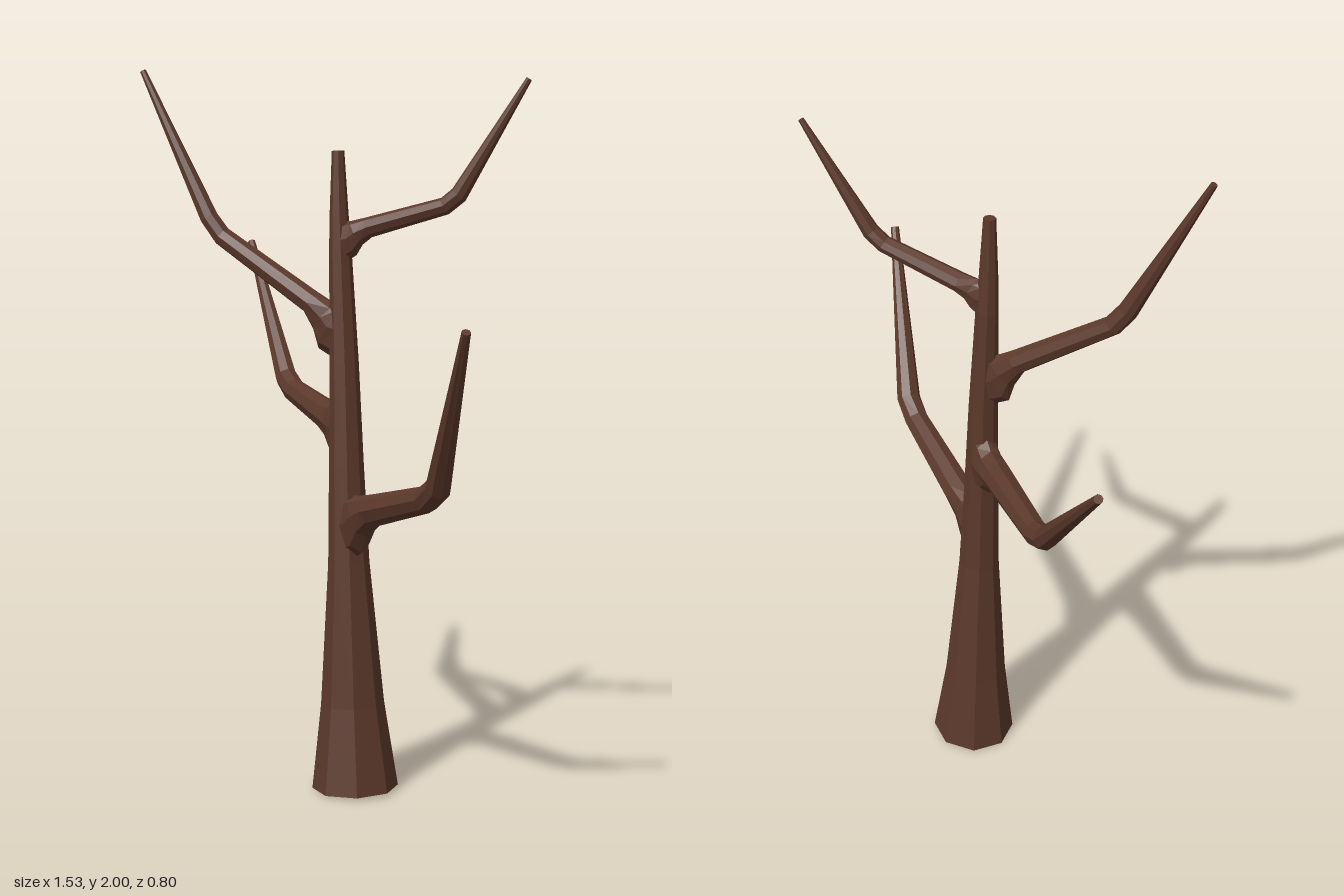
import * as THREE from 'three';

const SIDES = 8;

// Tapered faceted limb. Each point is [x, y, z, radius, lateralRadius = radius].
function limbGeometry(points, ref) {
  const centres = points.map(([x, y, z]) => new THREE.Vector3(x, y, z));
  const last = points.length - 1;
  const positions = [];
  const index = [];

  points.forEach(([, , , r, lateral = r], i) => {
    // Ring plane bisects the neighbouring segments
    const t = new THREE.Vector3();
    if (i > 0) t.add(centres[i].clone().sub(centres[i - 1]).normalize());
    if (i < last) t.add(centres[i + 1].clone().sub(centres[i]).normalize());
    t.normalize();
    const u = ref.clone().cross(t).normalize();
    const v = t.clone().cross(u);
    for (let j = 0; j < SIDES; j++) {
      const a = (j / SIDES) * Math.PI * 2;
      const p = centres[i].clone()
        .addScaledVector(u, Math.cos(a) * lateral)
        .addScaledVector(v, Math.sin(a) * r);
      positions.push(p.x, p.y, p.z);
    }
  });

  // Side walls
  for (let i = 0; i < last; i++) {
    for (let j = 0; j < SIDES; j++) {
      const k = (j + 1) % SIDES;
      const a = i * SIDES + j, b = i * SIDES + k;
      index.push(a, b, a + SIDES, b, b + SIDES, a + SIDES);
    }
  }

  // End caps
  for (let j = 1; j < SIDES - 1; j++) {
    const e = last * SIDES;
    index.push(0, j + 1, j, e, e + j, e + j + 1);
  }

  const geometry = new THREE.BufferGeometry();
  geometry.setAttribute('position', new THREE.Float32BufferAttribute(positions, 3));
  geometry.setIndex(index);
  const flat = geometry.toNonIndexed();
  flat.computeVertexNormals();
  return flat;
}

export function createModel() {
  const tree = new THREE.Group();
  tree.name = 'bareTree';
  const bark = new THREE.MeshStandardMaterial({ color: 0x5c392b });
  bark.name = 'bark';
  bark.flatShading = true;

  const addLimb = (name, points, ref) => {
    const mesh = new THREE.Mesh(limbGeometry(points, ref), bark);
    mesh.name = name;
    tree.add(mesh);
  };

  // Trunk, flared at the foot and leaning slightly
  addLimb('trunk', [
    [0.08, 0.01, 0.04, 0.12],
    [0.07, 0.25, 0.04, 0.088],
    [0.06, 0.65, 0.045, 0.057],
    [0.049, 0.92, 0.043, 0.048],
    [0.038, 1.2, 0.04, 0.04],
    [0.024, 1.5, 0.04, 0.031],
    [0.021, 1.6, 0.042, 0.026],
    [0.018, 1.775, 0.043, 0.017],
  ], new THREE.Vector3(0, 0, 1));

  // Branches: a tall collar at the trunk, a shallow run, then an elbow up to a thin tip
  const branches = {
    lowerLeftBranch: [
      [0.055, 0.755, 0.045, 0.1, 0.04], [0.1, 0.765, 0.06, 0.085, 0.042],
      [0.135, 0.79, 0.075, 0.06, 0.043], [0.19, 0.815, 0.09, 0.044],
      [0.46, 0.89, 0.185, 0.036], [0.52, 0.93, 0.21, 0.035], [0.755, 1.352, 0.39, 0.012],
    ],
    lowerRightBranch: [
      [0.04, 1.02, 0.035, 0.1, 0.038], [0, 1.022, 0.02, 0.085, 0.04],
      [-0.03, 1.03, 0.005, 0.055, 0.041], [-0.08, 1.04, -0.02, 0.042],
      [-0.36, 1.075, -0.17, 0.034], [-0.42, 1.105, -0.2, 0.033], [-0.757, 1.49, -0.39, 0.012],
    ],
    upperRightBranch: [
      [0.035, 1.29, 0.04, 0.085, 0.03], [0, 1.3, 0.05, 0.075, 0.032],
      [-0.02, 1.325, 0.055, 0.05, 0.033], [-0.06, 1.365, 0.07, 0.034],
      [-0.31, 1.54, 0.165, 0.028], [-0.345, 1.59, 0.18, 0.027], [-0.546, 1.996, 0.24, 0.009],
    ],
    upperLeftBranch: [
      [0.03, 1.535, 0.04, 0.06, 0.024], [0.05, 1.54, 0.032, 0.05, 0.026],
      [0.07, 1.555, 0.025, 0.036, 0.027], [0.1, 1.57, 0.01, 0.028],
      [0.31, 1.63, -0.06, 0.024], [0.345, 1.66, -0.075, 0.024], [0.508, 1.96, -0.16, 0.008],
    ],
  };
  const up = new THREE.Vector3(0, 1, 0);
  for (const [name, points] of Object.entries(branches)) addLimb(name, points, up);

  return tree;
}
